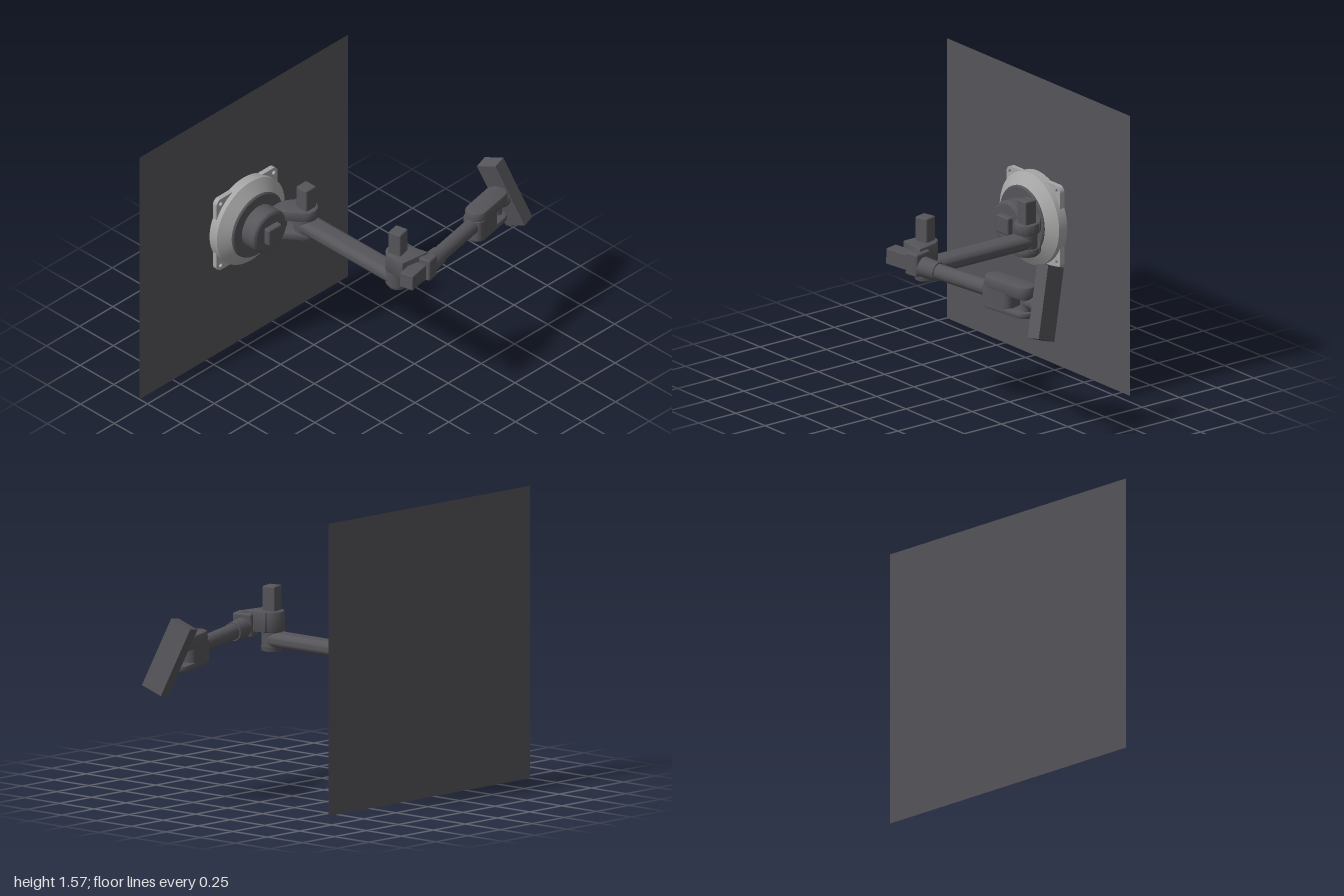
import * as THREE from 'three';
import { toCreasedNormals } from 'three/addons/utils/BufferGeometryUtils.js';
import { RoundedBoxGeometry } from 'three/addons/geometries/RoundedBoxGeometry.js';

const dark = new THREE.MeshStandardMaterial({ color: 0x55555a });
const light = new THREE.MeshStandardMaterial({ color: 0xa6a6a6 });
const wallMat = new THREE.MeshStandardMaterial({ color: 0x55555a, side: THREE.DoubleSide });

function add(parent, name, geo, x = 0, y = 0, z = 0, mat = dark) {
  const m = new THREE.Mesh(geo, mat);
  m.name = name;
  m.position.set(x, y, z);
  parent.add(m);
  return m;
}

// rounded rectangle centred on the origin
function roundRect(w, h, r) {
  const s = new THREE.Shape(), a = w / 2 - r, b = h / 2 - r;
  s.absarc(a, b, r, 0, Math.PI / 2);
  s.absarc(-a, b, r, Math.PI / 2, Math.PI);
  s.absarc(-a, -b, r, Math.PI, Math.PI * 1.5);
  s.absarc(a, -b, r, Math.PI * 1.5, Math.PI * 2);
  s.closePath();
  return s;
}

// extrude with a bevel that stays inside the outline; spans 0..depth along z
function slab(shape, depth, bevel = 0.008) {
  const g = new THREE.ExtrudeGeometry(shape, {
    depth: depth - 2 * bevel, curveSegments: 12, bevelEnabled: bevel > 0,
    bevelSize: bevel, bevelThickness: bevel, bevelOffset: -bevel, bevelSegments: 2,
  });
  g.translate(0, 0, bevel);
  return toCreasedNormals(g, 0.6);
}

// plan outline (x, -z) raised from y0 to y1
const upright = (shape, y0, y1, bevel) => slab(shape, y1 - y0, bevel).rotateX(-Math.PI / 2).translate(0, y0, 0);

// surface of revolution about z
const turned = (pts) => toCreasedNormals(
  new THREE.LatheGeometry(pts.map((p) => new THREE.Vector2(p[0], p[1])), 48), 0.4).rotateX(Math.PI / 2);

// cylinder along x from a to b
const rod = (r, a, b, r2 = r) => new THREE.CylinderGeometry(r2, r, b - a, 32).rotateZ(-Math.PI / 2).translate((a + b) / 2, 0, 0);

export function createModel() {
  const model = new THREE.Group();
  model.name = 'wallMountedArm';

  // wall panel
  add(model, 'wallPanel', new THREE.PlaneGeometry(1.57, 1.57), -0.215, 0.785, -0.559, wallMat);

  // mounting base
  const base = new THREE.Group();
  base.name = 'mountingBase';
  base.position.set(-0.22, 0.79, -0.557);
  model.add(base);
  const plate = roundRect(0.46, 0.46, 0.035);
  for (const sx of [-1, 1]) for (const sy of [-1, 1]) {
    const hole = new THREE.Path();
    hole.absarc(sx * 0.2, sy * 0.2, 0.012, 0, Math.PI * 2, true);
    plate.holes.push(hole);
  }
  add(base, 'screwPlate', slab(plate, 0.028, 0), 0, 0, 0, light);
  add(base, 'baseDisc', turned([[0, 0], [0.255, 0], [0.255, 0.055], [0.19, 0.1], [0, 0.1]]), 0, 0, 0, light);
  add(base, 'darkRing', turned([[0.19, 0.09], [0.19, 0.105], [0.183, 0.112], [0, 0.112]]));
  add(base, 'hub', turned([[0.125, 0.1], [0.125, 0.19], [0.12, 0.2], [0.108, 0.206], [0, 0.206]]));
  add(base, 'hubKnob', new RoundedBoxGeometry(0.1, 0.1, 0.08, 2, 0.01), 0, 0, 0.2);

  // shoulder bracket with clevis plates around the lower arm
  const bracket = new THREE.Shape();
  bracket.moveTo(-0.15, 0.44);
  bracket.lineTo(-0.06, 0.44);
  bracket.quadraticCurveTo(0.0, 0.42, 0.05, 0.36);
  bracket.absarc(0, 0.31, 0.066, 0.8, -2.5, true);
  bracket.lineTo(-0.13, 0.375);
  bracket.closePath();
  const shoulder = new THREE.Group();
  shoulder.name = 'shoulderJoint';
  model.add(shoulder);
  add(shoulder, 'upperClevis', upright(bracket, 0.808, 0.87));
  add(shoulder, 'lowerClevis', upright(bracket, 0.69, 0.732));
  const web = new THREE.Shape([[-0.19, 0.44], [-0.07, 0.435], [-0.055, 0.395], [-0.19, 0.375]].map((p) => new THREE.Vector2(...p)).reverse());
  add(shoulder, 'bracketWeb', upright(web, 0.715, 0.85, 0.005));
  add(shoulder, 'shoulderKnob', new RoundedBoxGeometry(0.076, 0.15, 0.076, 2, 0.008), 0.003, 0.925, -0.31);

  // lower arm: flattened tube with rounded end eyes
  add(model, 'lowerArm', slab(roundRect(0.124, 0.08, 0.036), 0.68, 0), -0.004, 0.767, -0.31);
  for (const z of [-0.31, 0.37]) {
    add(model, 'lowerArmEye', new THREE.CylinderGeometry(0.062, 0.062, 0.08, 32), -0.004, 0.767, z);
  }

  // elbow
  const elbow = new THREE.Group();
  elbow.name = 'elbowJoint';
  elbow.position.set(0.003, 0, 0.372);
  elbow.rotation.y = 0.23;
  model.add(elbow);
  const lug = new THREE.Shape();
  lug.moveTo(-0.085, -0.08);
  lug.lineTo(0.075, -0.14);
  lug.lineTo(0.075, 0);
  lug.absarc(0, 0, 0.068, 0.1, Math.PI - 0.1);
  lug.closePath();
  add(elbow, 'elbowLug', upright(lug, 0.808, 0.922));
  add(elbow, 'elbowLowerPlate', new THREE.CylinderGeometry(0.06, 0.055, 0.025, 32), 0, 0.718, 0);
  add(elbow, 'elbowKnob', new RoundedBoxGeometry(0.08, 0.15, 0.076, 2, 0.008), 0, 0.98, 0);

  // upper arm, running along its own x axis
  const arm = new THREE.Group();
  arm.name = 'upperArm';
  arm.position.set(0.07, 0.83, 0.49);
  arm.rotation.set(0, 0.23, -0.052, 'YZX');
  model.add(arm);
  add(arm, 'armKnob', new RoundedBoxGeometry(0.14, 0.09, 0.08, 2, 0.006), -0.1, 0.01, 0);
  add(arm, 'armCollar', new RoundedBoxGeometry(0.08, 0.13, 0.115, 2, 0.012), 0.015, 0.015, 0);
  add(arm, 'armSleeve', rod(0.056, 0.04, 0.155, 0.05));
  add(arm, 'armTube', rod(0.043, 0.1, 0.52));

  // fork at the end of the upper arm
  const fork = new THREE.Group();
  fork.name = 'fork';
  fork.position.x = 0.64;
  arm.add(fork);
  add(fork, 'forkTop', upright(roundRect(0.315, 0.122, 0.058), 0.015, 0.09, 0.015));
  add(fork, 'forkBottom', upright(roundRect(0.315, 0.122, 0.058), -0.09, -0.055, 0.012));
  add(fork, 'forkBody', upright(roundRect(0.2, 0.122, 0.04), -0.075, 0.04, 0), -0.057);
  add(fork, 'forkPin', new THREE.CylinderGeometry(0.026, 0.026, 0.12, 24), 0.115, -0.02, 0);
  add(fork, 'tiltStem', rod(0.028, 0.11, 0.22), 0, -0.01, 0);
  add(fork, 'tiltBall', new THREE.SphereGeometry(0.04, 24, 16), 0.175, -0.005, 0);

  // tilted head block: thickness, height and width axes
  const n = new THREE.Vector3(0.95, 0.15, -0.21).normalize();
  const up = new THREE.Vector3(-0.22, 0.91, -0.33).normalize();
  const side = new THREE.Vector3().crossVectors(n, up).normalize();
  up.crossVectors(side, n);
  const head = add(model, 'headBlock', new THREE.BoxGeometry(0.078, 0.395, 0.13), 0.907, 0.797, 0.272);
  head.quaternion.setFromRotationMatrix(new THREE.Matrix4().makeBasis(n, up, side));

  return model;
}
